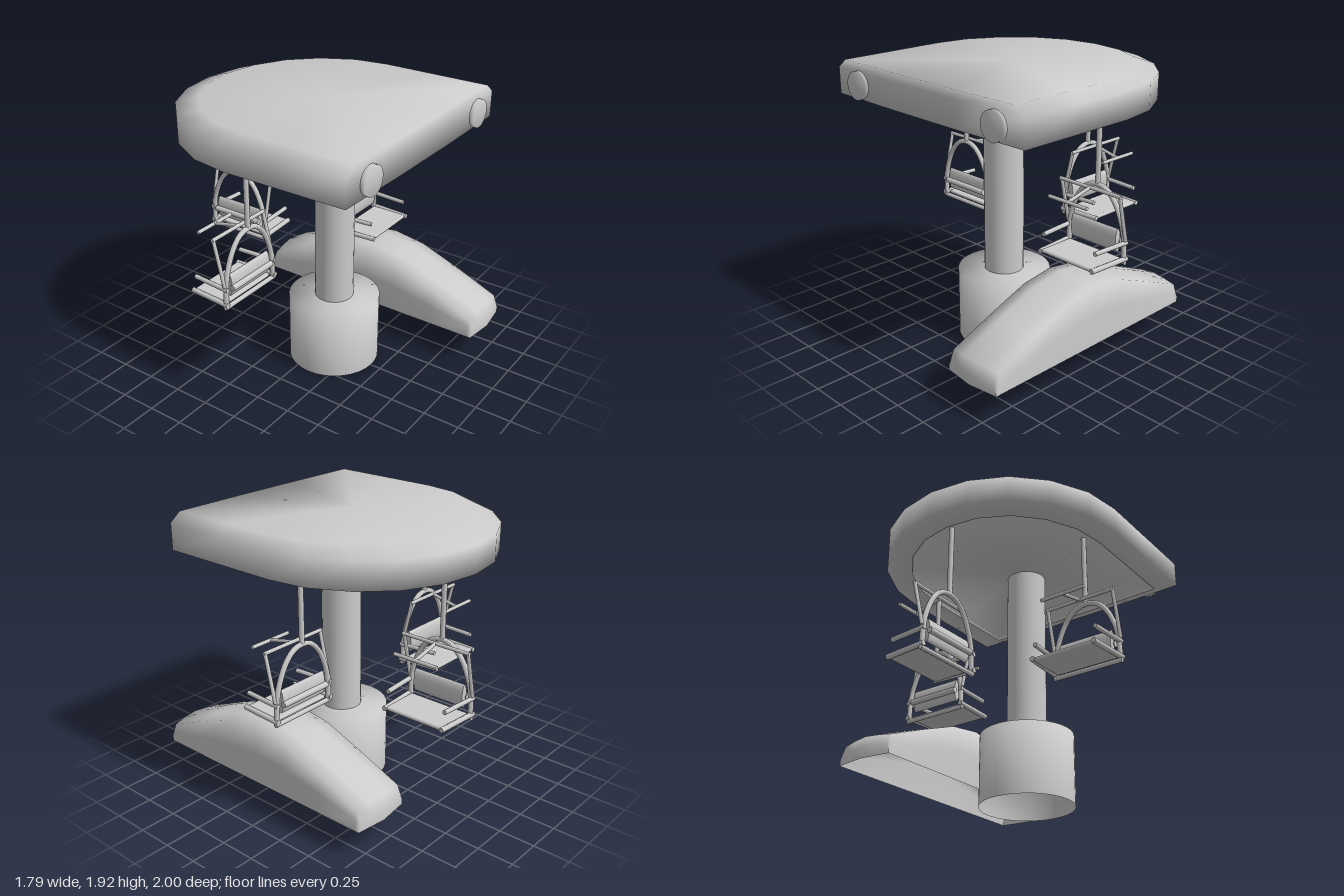
import * as THREE from 'three';
import { RoundedBoxGeometry } from 'three/addons/geometries/RoundedBoxGeometry.js';

const grey = new THREE.MeshStandardMaterial({ color: 0xcccccc });
const greyOpen = new THREE.MeshStandardMaterial({ color: 0xcccccc, side: THREE.DoubleSide });

function add(parent, name, geometry, material = grey) {
  const mesh = new THREE.Mesh(geometry, material);
  mesh.name = name;
  parent.add(mesh);
  return mesh;
}

// Smooth surface through rows of points; every face counts equally in the normals
function loft(rows, closed) {
  const n = rows[0].length, index = [];
  const points = rows.flat().map((p) => new THREE.Vector3(...p));
  const normals = points.map(() => new THREE.Vector3());
  const face = (a, b, c) => {
    const normal = points[b].clone().sub(points[a]).cross(points[c].clone().sub(points[a]));
    if (normal.length() < 1e-8) return;
    normal.normalize();
    for (const i of [a, b, c]) normals[i].add(normal);
    index.push(a, b, c);
  };
  for (let r = 0; r < rows.length - 1; r++) {
    for (let i = 0; i < (closed ? n : n - 1); i++) {
      const a = r * n + i, b = r * n + (i + 1) % n;
      face(a, b, b + n);
      face(a, b + n, a + n);
    }
  }
  const g = new THREE.BufferGeometry().setFromPoints(points);
  const flat = normals.flatMap((v) => v.normalize().toArray());
  g.setAttribute('normal', new THREE.Float32BufferAttribute(flat, 3));
  g.setIndex(index);
  return g;
}

// D-shaped roof, flat at the front, with a recessed underside
function makeRoof() {
  const roof = new THREE.Group();
  roof.name = 'roof';
  const half = [[0.3, 0.78], [0.87, 0.77], [0.87, 0.3], [0.87, -0.1], [0.83, -0.36],
    [0.7, -0.61], [0.51, -0.8], [0.27, -0.92]];
  const plan = [...half, [0, -0.96], ...half.map(([x, z]) => [-x, z]).reverse()];
  const ring = (y, sx = 1, sz = 1, front = 0.78) =>
    plan.map(([x, z]) => [x * sx, y, front + (z - 0.78) * sz]);
  const point = (y) => plan.map(() => [0, y, 0]);
  const inner = [0.82, 0.875, 0.73];
  add(roof, 'roofShell', loft([ring(1.68, ...inner), ring(1.68), ring(1.86),
    ring(1.92, 0.91, 0.9), point(1.92)], true));
  add(roof, 'roofCeiling', loft([point(1.7), ring(1.7, ...inner), ring(1.68, ...inner)], true));
  // Round discs on the front
  for (const s of [-1, 1]) {
    const profile = [[0.095, 0], [0.095, 0.032], [0, 0.032]].map((p) => new THREE.Vector2(...p));
    const disc = add(roof, 'frontDisc', new THREE.LatheGeometry(profile, 24));
    disc.rotation.x = Math.PI / 2;
    disc.position.set(s * 0.64, 1.775, 0.772);
  }
  return roof;
}

// Arched ramp, open underneath, with bowed ends
function makeRamp() {
  const stations = [[1, 0.29], [0.97, 0.365], [0.66, 0.49], [0.345, 0.605], [0.1, 0.64],
    [-0.155, 0.605], [-0.46, 0.49], [-0.77, 0.365], [-0.8, 0.29]];
  const rows = stations.map(([z, top]) => {
    const section = [[0.212, 0.21], [0.21, 0.21 + (top - 0.21) * 0.5], [0.198, top - 0.018],
      [0.1, top - 0.005], [0, top]];
    const full = [...section, ...section.slice(0, -1).reverse().map(([x, y]) => [-x, y])];
    return full.map(([x, y]) => {
      const bow = (z - 0.1) * 0.03 * (Math.abs(x) / 0.21);
      return [0.632 + x, y, z - bow];
    });
  });
  // Drop both ends straight down to the lower edge
  const drop = (row) => row.map(([x, , z]) => [x, 0.21, z]);
  return loft([drop(rows[0]), ...rows, drop(rows[rows.length - 1])], false);
}

// Chair facing +z, hanging from its own origin
function makeChair() {
  const chair = new THREE.Group();
  chair.name = 'chair';
  rod(chair, 'hanger', [0, 1.2, 0], [0, 1.7, 0], 0.018);

  // Arched frame
  const side = [[0.237, 0.725], [0.235, 0.82], [0.226, 0.92], [0.2, 1.01], [0.15, 1.11], [0.08, 1.18]];
  const arch = [...side, [0, 1.2], ...side.map(([x, y]) => [-x, y]).reverse()]
    .map(([x, y]) => new THREE.Vector3(x, y, 0));
  add(chair, 'archFrame', new THREE.TubeGeometry(new THREE.CatmullRomCurve3(arch), 32, 0.018, 8));
  rod(chair, 'lowerBar', [-0.25, 0.73, 0], [0.25, 0.73, 0], 0.016);
  rod(chair, 'backBar', [-0.197, 0.86, -0.02], [0.197, 0.86, -0.02], 0.021);

  // Seat and curved backrest
  const seat = add(chair, 'seat', new RoundedBoxGeometry(0.44, 0.026, 0.27, 2, 0.012));
  seat.position.set(0, 0.752, 0.145);
  const back = add(chair, 'backrest', new THREE.CylinderGeometry(0.08, 0.08, 0.38, 16));
  back.rotation.z = Math.PI / 2;
  back.scale.z = 0.3;
  back.position.set(0, 0.87, 0.01);
  rod(chair, 'seatFrontBar', [-0.235, 0.753, 0.275], [0.235, 0.753, 0.275], 0.014);

  // Side rails closing in to the front, and raised safety bar with footrest
  for (const s of [-1, 1]) {
    rod(chair, 'seatRail', [s * 0.243, 0.753, -0.02], [s * 0.222, 0.753, 0.295], 0.018);
    rod(chair, 'armrest', [s * 0.24, 0.863, -0.02], [s * 0.22, 0.863, 0.265], 0.016);
    rod(chair, 'safetyBarArm', [s * 0.245, 0.88, 0], [s * 0.245, 1.2, 0.075], 0.013);
  }
  rod(chair, 'safetyBarTop', [-0.256, 1.197, 0.075], [0.256, 1.197, 0.075], 0.013);
  rod(chair, 'footrestStem', [0, 1.197, 0.075], [0, 1.15, 0.28], 0.012);
  rod(chair, 'footrestBar', [-0.16, 1.15, 0.28], [0.16, 1.15, 0.28], 0.013);
  return chair;
}

// Straight round bar between two points
function rod(parent, name, from, to, r) {
  const a = new THREE.Vector3(...from), b = new THREE.Vector3(...to);
  const dir = b.clone().sub(a);
  const mesh = add(parent, name, new THREE.CylinderGeometry(r, r, dir.length(), 8));
  mesh.position.copy(a).add(b).multiplyScalar(0.5);
  mesh.quaternion.setFromUnitVectors(new THREE.Vector3(0, 1, 0), dir.normalize());
}

export function createModel() {
  const model = new THREE.Group();
  model.name = 'chairliftStation';

  model.add(makeRoof());
  add(model, 'ramp', makeRamp(), greyOpen);

  // Column on a round foot that is open below
  const column = add(model, 'column', new THREE.CylinderGeometry(0.135, 0.135, 1.22, 24, 1, true));
  column.position.set(0, 1.09, 0.105);
  const footProfile = [[0.318, 0], [0.318, 0.49], [0, 0.49]].map((p) => new THREE.Vector2(...p));
  const foot = add(model, 'foot', new THREE.LatheGeometry(footProfile, 32), greyOpen);
  foot.position.z = 0.105;

  // Chairs travelling round the back: x, z, heading
  for (const [x, z, turn] of [[0.63, -0.125, 0], [0, -0.74, Math.PI / 2], [-0.635, -0.125, Math.PI]]) {
    const chair = makeChair();
    chair.position.set(x, 0, z);
    chair.rotation.y = turn;
    model.add(chair);
  }
  return model;
}
